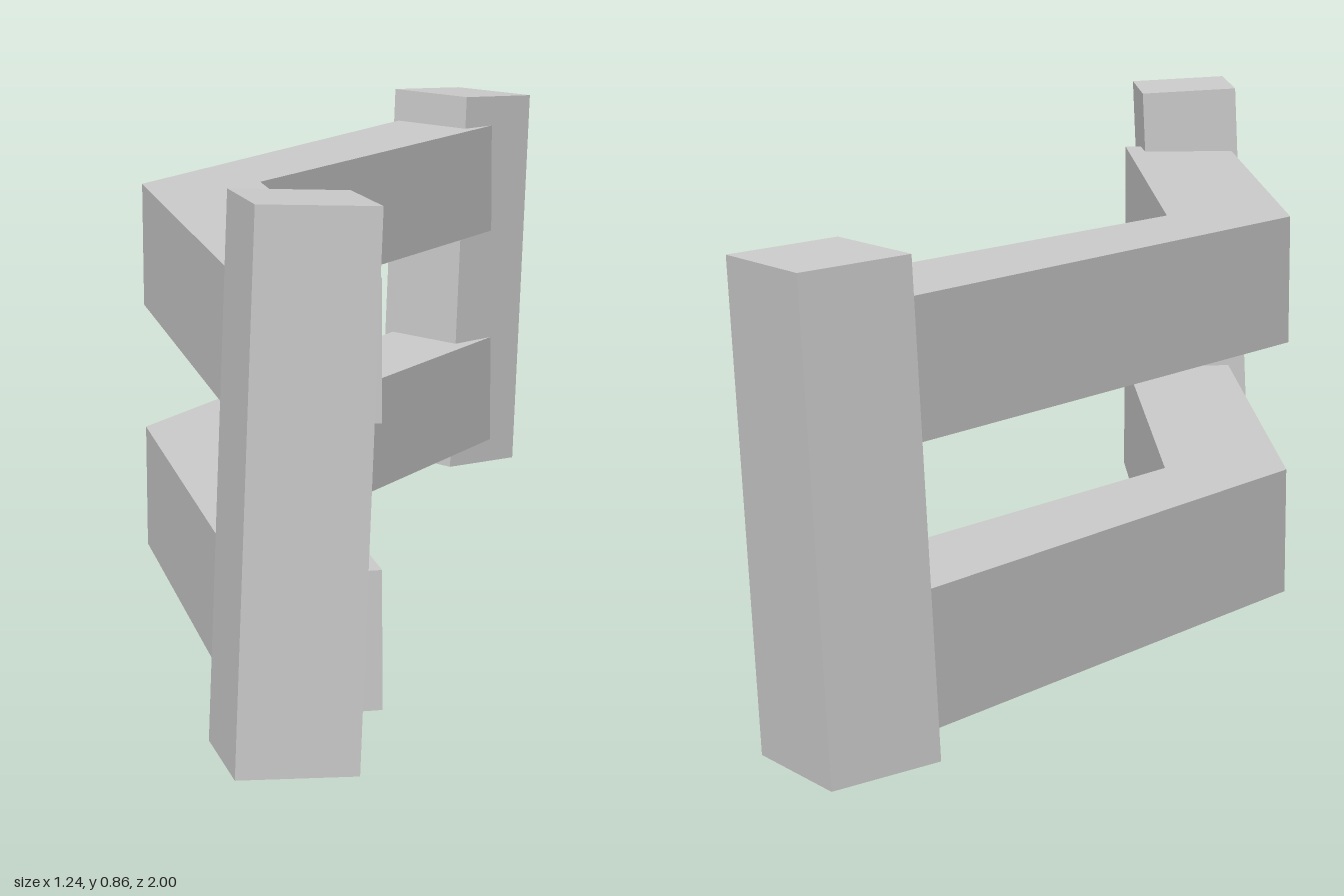
import * as THREE from 'three';

const material = new THREE.MeshStandardMaterial({ color: 0xcccccc, flatShading: true });

// Square post, turned about its own axis and leaning slightly backwards
function post(name, size, center, turn) {
  const mesh = new THREE.Mesh(new THREE.BoxGeometry(...size), material);
  mesh.name = name;
  const up = new THREE.Vector3(0, 1, 0);
  const axis = new THREE.Vector3(0.008, 1, -0.057).normalize();
  mesh.quaternion.setFromUnitVectors(up, axis)
    .multiply(new THREE.Quaternion().setFromAxisAngle(up, THREE.MathUtils.degToRad(turn)));
  mesh.position.set(...center);
  return mesh;
}

// Plan outline of a bent rail as [x, z]
const railPlan = [
  [-0.604, -0.83], [-0.39, 0.21], [0.417, 0.872],
  [0.55, 0.71], [-0.24, 0.06], [-0.397, -0.865],
];

function rail(name, bottom, height) {
  const shape = new THREE.Shape(railPlan.map(([x, z]) => new THREE.Vector2(x, -z)));
  const geometry = new THREE.ExtrudeGeometry(shape, { depth: height, bevelEnabled: false });
  geometry.rotateX(-Math.PI / 2);
  const mesh = new THREE.Mesh(geometry, material);
  mesh.name = name;
  mesh.position.y = bottom;
  return mesh;
}

export function createModel() {
  const fence = new THREE.Group();
  fence.name = 'cornerFence';
  fence.add(
    post('frontPost', [0.205, 0.845, 0.188], [0.481, 0.432, 0.834], -38),
    post('backPost', [0.208, 0.772, 0.19], [-0.5, 0.402, -0.873], -7.5),
    rail('lowerRail', 0.062, 0.22),
    rail('upperRail', 0.508, 0.22),
  );
  return fence;
}
